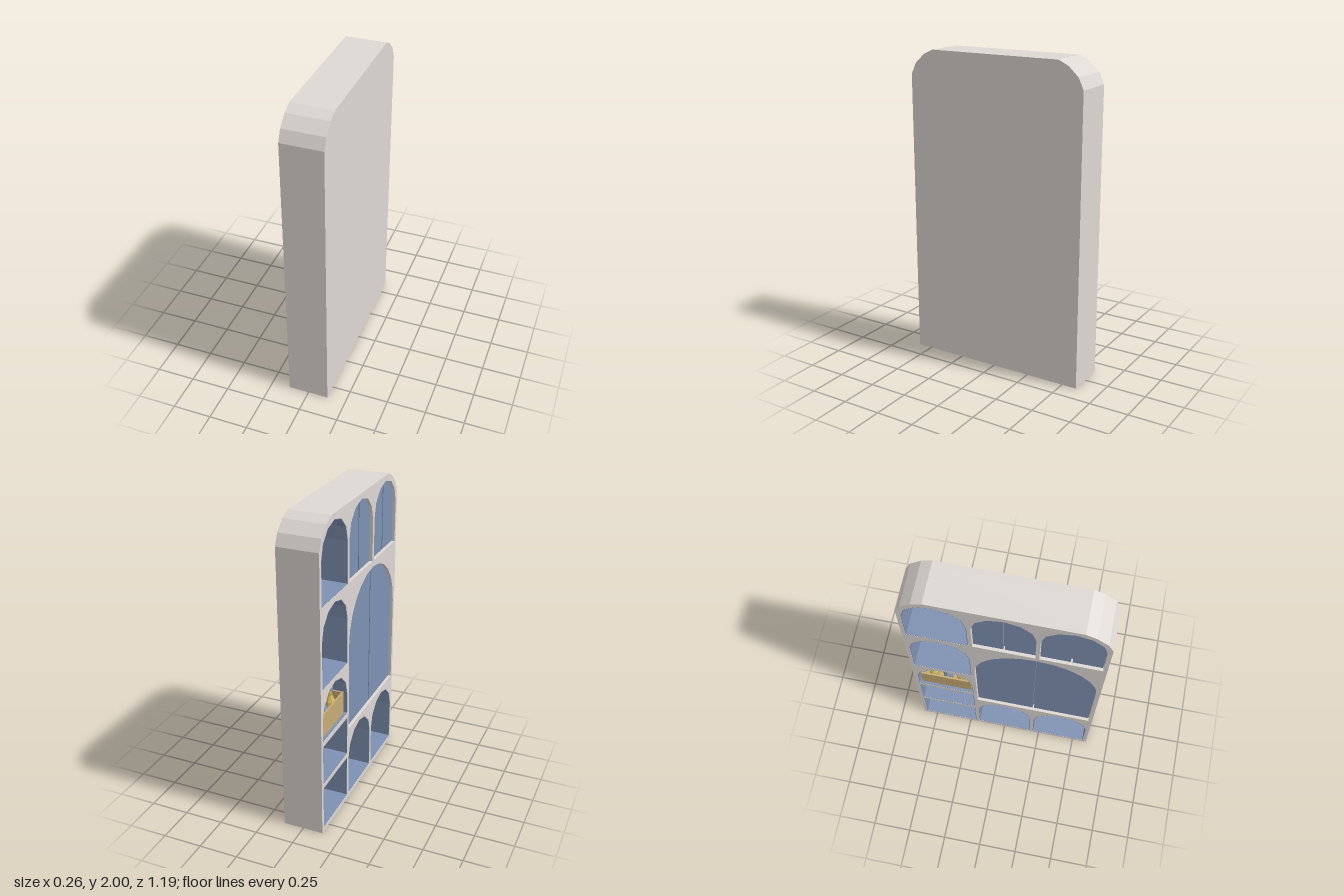
import * as THREE from 'three';

const mat = (color) => new THREE.MeshStandardMaterial({ color, flatShading: true });
const plaster = mat(0xded8d4);
const blue = mat(0x7e91b2);
const wood = mat(0xc6ab74);
const straw = mat(0xd2b85c);

// Working frame: shape x runs along world z, extrusion runs towards the open face (-x).
const FACE = 0.13;
const BACK = -0.10;

// Compartments: left, right, bottom, top, arched or square, segments of the arch.
const cols = [[-0.573, -0.206], [-0.183, 0.183], [0.206, 0.573]];
const cell = (a, b, y0, y1, arched = true, segs = 6) => ({ a, b, y0, y1, arched, segs });
const niches = [
  cell(...cols[0], 0.03, 0.32, false),
  cell(...cols[0], 0.35, 0.615, false),
  cell(...cols[0], 0.65, 0.97),
  cell(...cols[0], 1.0, 1.48),
  cell(...cols[0], 1.515, 1.965),
  cell(...cols[1], 0.03, 0.485),
  cell(...cols[2], 0.03, 0.485),
];
const cupboards = [
  cell(...cols[1], 1.515, 1.965),
  cell(...cols[2], 1.515, 1.965),
  cell(cols[1][0], cols[2][1], 0.52, 1.475, true, 12),
];

// Outline points of a compartment, shrunk by d; side -1 or 1 keeps one half for a door leaf.
function outline(c, d = 0, side = 0, gap = 0) {
  const mid = (c.a + c.b) / 2;
  const r = (c.b - c.a) / 2 - d;
  const pts = [[-r, c.y0 + d], [r, c.y0 + d]];
  if (c.arched) {
    const spring = c.y1 - d - r;
    for (let i = 0; i <= c.segs; i++) {
      const t = (Math.PI * i) / c.segs;
      pts.push([r * Math.cos(t), spring + r * Math.sin(t)]);
    }
  } else pts.push([r, c.y1 - d], [-r, c.y1 - d]);
  const kept = side ? pts.map(([u, y]) => [side * Math.max(side * u, gap), y]) : pts;
  return kept.map(([u, y]) => new THREE.Vector2(mid + u, y));
}

function slab(name, shape, material, from, to) {
  const geo = new THREE.ExtrudeGeometry(shape, { depth: to - from, bevelEnabled: false });
  geo.translate(0, 0, from);
  const mesh = new THREE.Mesh(geo, material);
  mesh.name = name;
  return mesh;
}

function box(name, material, w, h, d, x, y, z) {
  const mesh = new THREE.Mesh(new THREE.BoxGeometry(w, h, d), material);
  mesh.position.set(x, y, z);
  mesh.name = name;
  return mesh;
}

// Block with chamfered, rounded upper corners
function blockShape() {
  const half = [[0.597, 0], [0.597, 1.84], [0.565, 1.91], [0.5, 1.97], [0.435, 2]];
  const mirrored = half.map(([u, y]) => [-u, y]).reverse();
  return new THREE.Shape([...half, ...mirrored].map(([u, y]) => new THREE.Vector2(u, y)));
}

// Bottle standing on y = 0, with a coloured cap
function bottle(h, glass, cap) {
  const g = new THREE.Group();
  g.name = 'bottle';
  const profile = [[0, 0], [0.032, 0], [0.032, 0.5 * h], [0.014, 0.72 * h], [0.014, 0.9 * h], [0, 0.9 * h]];
  const body = new THREE.Mesh(
    new THREE.LatheGeometry(profile.map(([r, y]) => new THREE.Vector2(r, y)), 8), glass);
  body.name = 'bottleBody';
  const top = new THREE.Mesh(new THREE.CylinderGeometry(0.02, 0.02, 0.1 * h, 8), cap);
  top.position.y = 0.95 * h;
  top.name = 'bottleCap';
  g.add(body, top);
  return g;
}

// Open crate with bottles
function crate() {
  const g = new THREE.Group();
  g.name = 'bottleCrate';
  const W = 0.33, D = 0.19, H = 0.15, t = 0.012;
  g.add(box('crateBase', wood, W, t, D, 0, t / 2, 0));
  for (const s of [-1, 1]) {
    g.add(box('crateLongSide', wood, W, H, t, 0, H / 2, s * (D - t) / 2));
    g.add(box('crateEnd', wood, t, H, D - 2 * t, s * (W - t) / 2, H / 2, 0));
  }
  [-0.095, 0, 0.09].forEach((u, i) => [-0.042, 0.036].forEach((w, j) => {
    const odd = (i + j) % 2;
    const b = bottle(i === 2 ? 0.2 : 0.165, odd ? straw : blue, odd ? blue : straw);
    b.position.set(u, t, w);
    g.add(b);
  }));
  return g;
}

export function createModel() {
  const model = new THREE.Group();
  model.name = 'wallCabinet';
  const unit = new THREE.Group();
  unit.name = 'cabinet';
  unit.rotation.y = -Math.PI / 2;
  model.add(unit);

  // Back panel and pierced frame
  unit.add(slab('backPanel', blockShape(), plaster, -0.13, BACK));
  const frame = blockShape();
  for (const c of [...niches, ...cupboards]) frame.holes.push(new THREE.Path(outline(c)));
  unit.add(slab('frame', frame, plaster, BACK, FACE));

  // Blue lining of the open niches
  for (const c of niches) {
    const ring = new THREE.Shape(outline(c, 0.0005));
    ring.holes.push(new THREE.Path(outline(c, 0.004)));
    unit.add(slab('nicheLining', ring, blue, BACK, FACE - 0.001));
    unit.add(slab('nicheBack', new THREE.Shape(outline(c, 0.002)), blue, BACK, BACK + 0.004));
  }

  // Paired doors, set slightly back, with a groove between the leaves
  for (const c of cupboards) {
    unit.add(slab('doorBacking', new THREE.Shape(outline(c, 0.002)), blue, 0.07, 0.09));
    for (const side of [-1, 1])
      unit.add(slab('doorLeaf', new THREE.Shape(outline(c, 0.003, side, 0.005)), blue, 0.09, FACE - 0.018));
  }

  const box1 = crate();
  box1.position.set(-0.389, 0.655, 0.018);
  unit.add(box1);
  return model;
}
